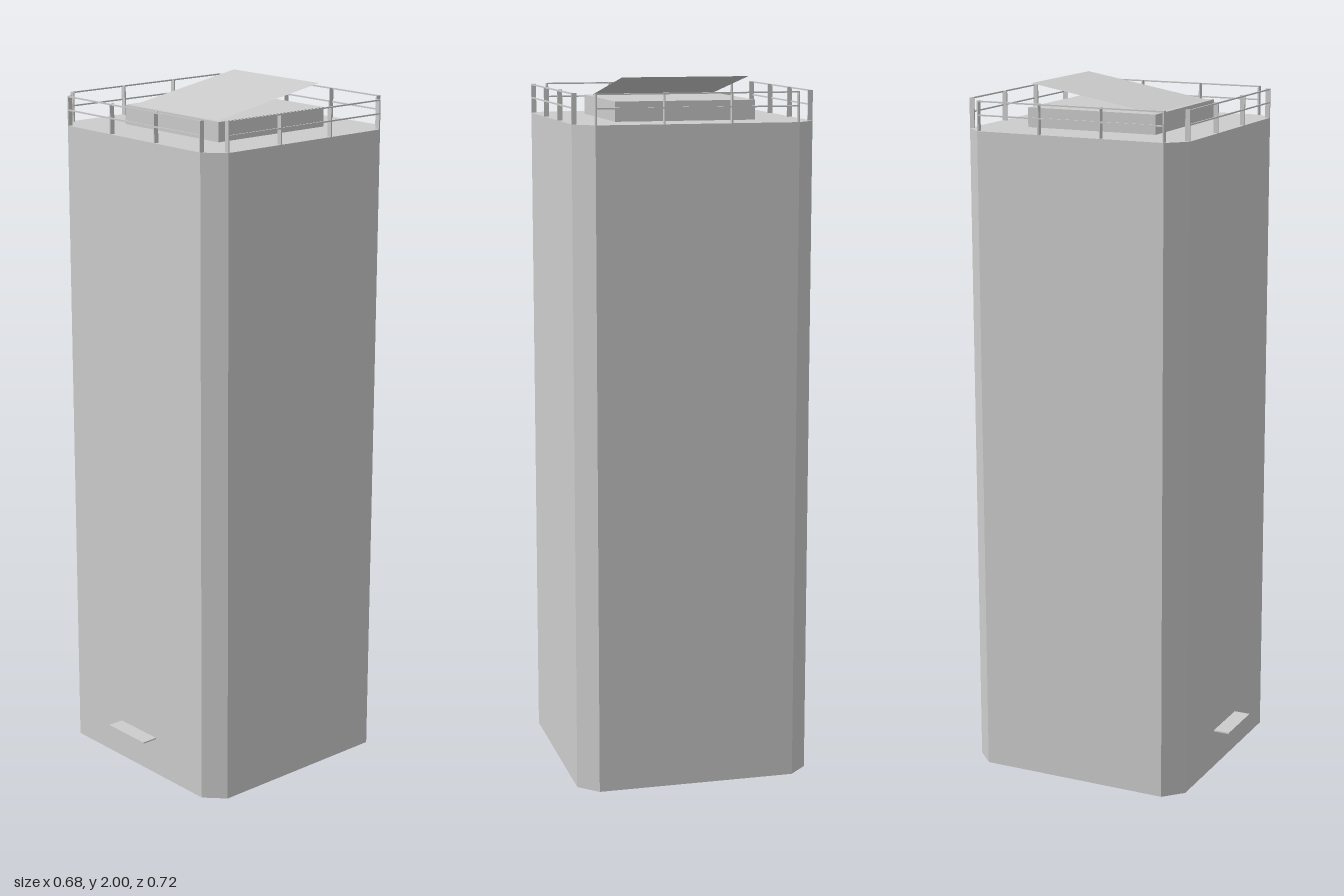
import * as THREE from 'three';

export function createModel() {
  const group = new THREE.Group();
  group.name = 'tower';
  const grey = new THREE.MeshStandardMaterial({ color: 0xcccccc, side: THREE.DoubleSide });
  grey.name = 'grey concrete';

  const add = (name, geometry, parent = group) => {
    const mesh = new THREE.Mesh(geometry, grey);
    mesh.name = name;
    parent.add(mesh);
    return mesh;
  };
  const box = (name, x0, x1, y0, y1, z0, z1, parent) => {
    const g = new THREE.BoxGeometry(x1 - x0, y1 - y0, z1 - z0);
    g.translate((x0 + x1) / 2, (y0 + y1) / 2, (z0 + z1) / 2);
    return add(name, g, parent);
  };
  const surface = (points) => {
    const g = new THREE.BufferGeometry();
    g.setAttribute('position', new THREE.Float32BufferAttribute(points.flat(), 3));
    g.computeVertexNormals();
    return g;
  };
  const quad = (a, b, c, d) => [a, b, c, a, c, d];

  // Chamfered footprint, counter-clockwise seen from above
  const X = 0.34, XC = 0.286, F = 0.312, FC = 0.26, B = -0.358, BC = -0.305, H = 1.88;
  const plan = [[-XC, F], [XC, F], [X, FC], [X, BC], [XC, B], [-XC, B], [-X, BC], [-X, FC]];

  // Hollow walls, open at the bottom
  const walls = plan.flatMap(([x, z], i) => {
    const [u, w] = plan[(i + 1) % plan.length];
    return quad([x, 0, z], [u, 0, w], [u, H, w], [x, H, z]);
  });
  add('walls', surface(walls));

  // Flat roof
  const roof = new THREE.ShapeGeometry(new THREE.Shape(plan.map(([x, z]) => new THREE.Vector2(x, -z))));
  roof.rotateX(-Math.PI / 2).translate(0, H, 0);
  add('roof', roof);

  // Roof plinth with a thin tilted panel, raised at the back
  box('roofPlinth', -0.2, 0.2, H, 1.935, -0.22, 0.172);
  add('tiltedPanel', surface(quad(
    [-0.18, 1.933, 0.17], [0.18, 1.933, 0.17], [0.18, 2, -0.22], [-0.18, 2, -0.22])));

  // Entrance canopy
  box('entranceCanopy', -0.08, 0.08, 0.111, 0.115, F, 0.36);

  // Railings: two rails and four fin posts on each long side
  const T = 0.004, D = 0.014, TOP = 1.964;
  const railing = (name, length, x, z, angle) => {
    const rail = new THREE.Group();
    rail.name = name;
    const h = length / 2;
    for (const y of [1.922, TOP - T]) box('rail', -h, h, y, y + T, -T, 0, rail);
    for (let i = 0; i < 4; i++) {
      const p = -h + T / 2 + (i * (length - T)) / 3;
      box('post', p - T / 2, p + T / 2, H, TOP, -D, 0, rail);
    }
    rail.position.set(x, 0, z);
    rail.rotation.y = angle;
    group.add(rail);
  };
  const midZ = (FC + BC) / 2;
  railing('frontRailing', 2 * XC, 0, F, 0);
  railing('backRailing', 2 * XC, 0, B, Math.PI);
  railing('leftRailing', FC - BC, X, midZ, Math.PI / 2);
  railing('rightRailing', FC - BC, -X, midZ, -Math.PI / 2);

  return group;
}
